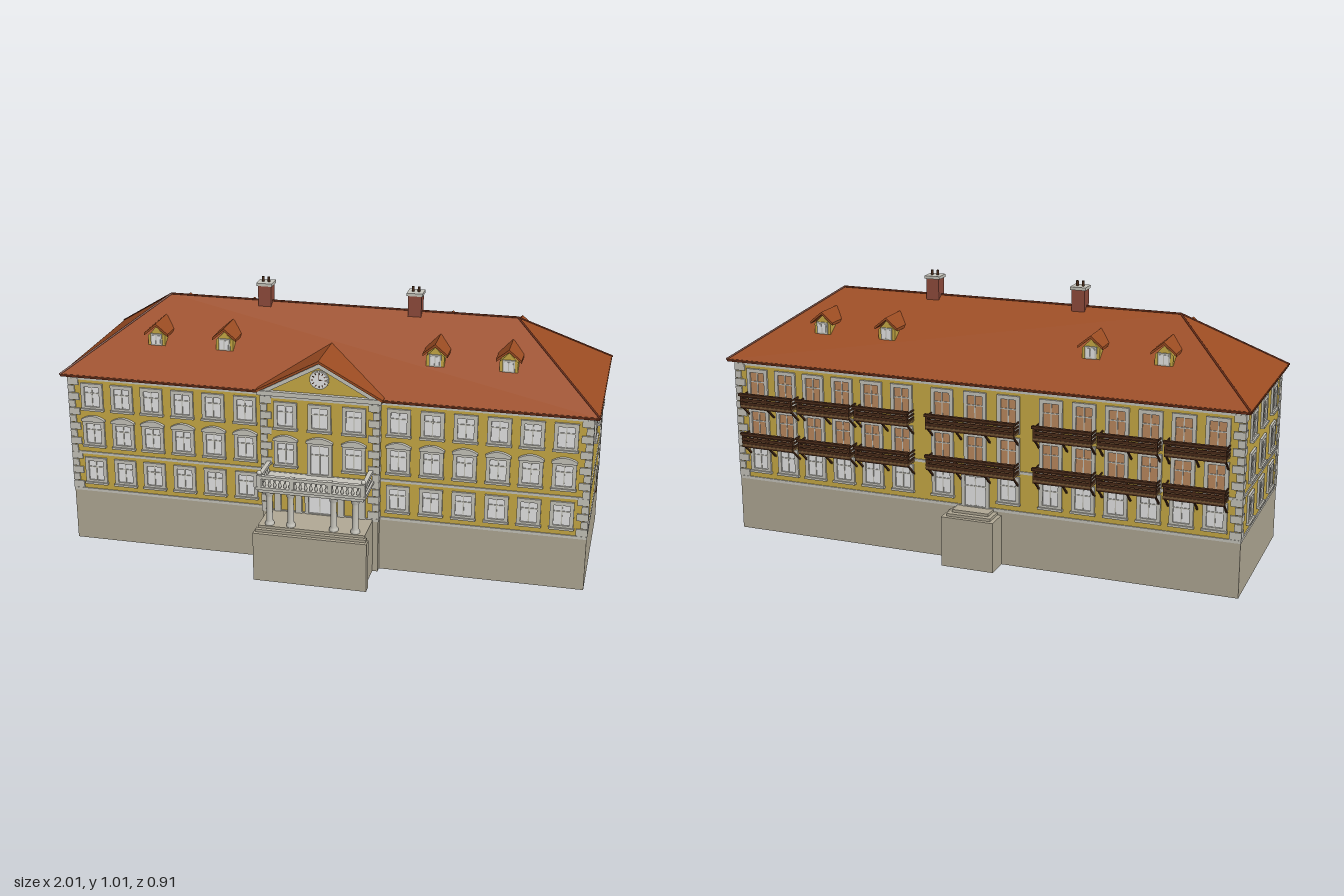
import * as THREE from 'three';
import { ConvexGeometry } from 'three/addons/geometries/ConvexGeometry.js';

const mat = (name, color) => new THREE.MeshStandardMaterial({ name, color });
const M = {
  wall: mat('yellow plaster', 0xc9ab45), roof: mat('roof tile', 0x9c4c22), edge: mat('dark roof edge', 0x6a2d17),
  base: mat('base stone', 0xb1a995), trim: mat('light stone trim', 0xc8c6bd), pane: mat('white panes', 0xfbfbfb),
  brick: mat('chimney brick', 0x904c3c), wood: mat('dark wood', 0x4a2b19), floor: mat('floor boards', 0x7a5a38),
  door: mat('tan doors', 0xbd8a60),
};

function add(parent, name, geo, m, x = 0, y = 0, z = 0) {
  const mesh = new THREE.Mesh(geo, m);
  mesh.name = name;
  mesh.position.set(x, y, z);
  parent.add(mesh);
  return mesh;
}
// box given by its limits
const block = (p, name, m, x0, x1, y0, y1, z0, z1) =>
  add(p, name, new THREE.BoxGeometry(x1 - x0, y1 - y0, z1 - z0), m, (x0 + x1) / 2, (y0 + y1) / 2, (z0 + z1) / 2);
const group = (parent, name, x = 0, y = 0, z = 0, ry = 0) => {
  const g = new THREE.Group();
  g.name = name;
  g.position.set(x, y, z);
  g.rotation.y = ry;
  parent.add(g);
  return g;
};
const poly = (pts) => new THREE.Shape(pts.map(([x, y]) => new THREE.Vector2(x, y)));
const extrude = (shape, depth) => new THREE.ExtrudeGeometry(shape, { depth, bevelEnabled: false, curveSegments: 8 });
// inverted V of roof or moulding
const chevron = (w, y0, y1, t) => poly([[-w, y0 - t], [0, y1 - t], [w, y0 - t], [w, y0], [0, y1], [-w, y0]]);

// window or glazed door on a wall facing local +z, y is the bottom of the panes
function opening(parent, x, y, { w = 0.058, h = 0.078, hood = false, pane = M.pane, sill = true } = {}) {
  const g = group(parent, 'window', x, y, 0);
  const f = 0.014, a = w / 2, o = a + f;
  const frame = poly([[-o, -f], [o, -f], [o, h + f], [-o, h + f]]);
  frame.holes.push(poly([[-a, 0], [-a, h], [a, h], [a, 0]]));
  add(g, 'surround', extrude(frame, 0.008), M.trim);
  block(g, 'panes', pane, -a, a, 0, h, 0, 0.002);
  block(g, 'mullion', M.trim, -0.002, 0.002, 0, h, 0.002, 0.005);
  block(g, 'transom', M.trim, -a, a, h * 0.66, h * 0.66 + 0.004, 0.002, 0.005);
  if (sill) block(g, 'sill', M.trim, -o - 0.003, o + 0.003, -f - 0.002, -f + 0.006, 0, 0.014);
  if (hood) {
    const s = new THREE.Shape();
    s.moveTo(-o - 0.003, h + f - 0.004);
    s.lineTo(o + 0.003, h + f - 0.004);
    s.lineTo(o + 0.003, h + f + 0.004);
    s.quadraticCurveTo(0, h + f + 0.034, -o - 0.003, h + f + 0.004);
    add(g, 'arched hood', extrude(s, 0.013), M.trim);
  }
}

// alternating corner stones; sx, sz point outwards
function quoins(parent, x, z, sx, sz, deep = 1) {
  const g = group(parent, 'cornerStones');
  for (let i = 0; i < 15; i++) {
    const a = i % 2 ? 0.026 : 0.042, b = deep * a, y = 0.215 + i * 0.03;
    add(g, 'cornerStone', new THREE.BoxGeometry(a, 0.027, b), M.trim,
      x + sx * (0.005 - a / 2), y + 0.0135, z + sz * (0.005 - b / 2));
  }
}

// dormer facing local +z, run is its depth into the roof
function dormer(parent, x, z, ry, run) {
  const g = group(parent, 'dormer', x, 0, z, ry);
  add(g, 'dormer walls', extrude(poly([[-0.033, 0.76], [0.033, 0.76], [0.033, 0.814], [0, 0.848], [-0.033, 0.814]]), run), M.wall, 0, 0, -run - 0.008);
  add(g, 'dormer roof', extrude(chevron(0.046, 0.824, 0.862, 0.01), run), M.roof, 0, 0, -run);
  block(g, 'dormer frame', M.trim, -0.022, 0.022, 0.777, 0.822, -0.008, -0.003);
  for (const s of [-1, 1]) block(g, 'dormer pane', M.pane, s * 0.009 - 0.007, s * 0.009 + 0.007, 0.783, 0.816, -0.003, -0.001);
}

// timber balcony on a wall facing local +z
function woodBalcony(parent, x, y, w) {
  const g = group(parent, 'timberBalcony', x, y, 0), a = w / 2, d = 0.062;
  block(g, 'balcony floor', M.floor, -a, a, 0, 0.007, 0, d);
  block(g, 'floor beam', M.wood, -a, a, -0.006, 0, d - 0.012, d);
  for (const h of [0.008, 0.022, 0.036]) {
    block(g, 'front plank', M.wood, -a, a, h, h + 0.011, d - 0.004, d);
    for (const s of [-a, a - 0.004]) block(g, 'side plank', M.wood, s, s + 0.004, h + 0.002, h + 0.008, 0, d);
  }
  block(g, 'handrail', M.wood, -a - 0.003, a + 0.003, 0.042, 0.052, d - 0.008, d + 0.006);
  const n = Math.round(w / 0.1);
  for (let i = 0; i <= n; i++) {
    const px = -a + 0.004 + (w - 0.008) * i / n;
    block(g, 'rail post', M.wood, px - 0.004, px + 0.004, -0.006, 0.048, d - 0.009, d - 0.001);
    const brace = add(g, 'brace', new THREE.BoxGeometry(0.006, 0.076, 0.006), M.wood, px, -0.024, 0.029);
    brace.rotation.x = 0.86;
  }
}

export function createModel() {
  const model = new THREE.Group();
  model.name = 'manorHouse';
  const cols = [0.288, 0.41, 0.53, 0.65, 0.767, 0.885].flatMap((x) => [x, -x]);
  const rows = [0.252, 0.405, 0.553];

  // base and walls
  block(model, 'base', M.base, -0.978, 0.978, 0, 0.205, -0.366, 0.262);
  block(model, 'middleBase', M.base, -0.22, 0.22, 0, 0.205, 0.26, 0.288);
  block(model, 'walls', M.wall, -0.975, 0.975, 0.2, 0.675, -0.363, 0.26);
  block(model, 'middleWall', M.wall, -0.218, 0.218, 0.2, 0.675, 0.25, 0.284);
  for (const [y0, y1] of [[0.203, 0.214], [0.357, 0.367], [0.657, 0.675]]) {
    block(model, 'stringCourse', M.trim, -0.979, 0.979, y0, y1, -0.367, 0.264);
    block(model, 'middleStringCourse', M.trim, -0.222, 0.222, y0, y1, 0.25, 0.288);
  }
  for (const sx of [-1, 1]) {
    quoins(model, sx * 0.975, 0.26, sx, 1);
    quoins(model, sx * 0.975, -0.363, sx, -1);
    quoins(model, sx * 0.218, 0.284, sx, 1, 0.8);
  }

  // front windows
  const front = group(model, 'frontWindows', 0, 0, 0.26);
  for (const x of cols) rows.forEach((y, i) => opening(front, x, y, { hood: i === 1 }));
  const middle = group(model, 'middleWindows', 0, 0, 0.284);
  for (const x of [-0.128, 0, 0.128]) {
    opening(middle, x, rows[2]);
    if (x) opening(middle, x, rows[1], { hood: true });
  }
  opening(middle, 0, 0.372, { w: 0.066, h: 0.112, hood: true, sill: false });
  opening(middle, 0, 0.214, { w: 0.085, h: 0.122, sill: false });

  // side windows and side door; the left end carries only the top row
  const left = group(model, 'leftSide', 0.975, 0, 0, Math.PI / 2);
  const right = group(model, 'rightSide', -0.975, 0, 0, -Math.PI / 2);
  for (const z of [0.125, -0.05, -0.225]) {
    opening(left, -z, rows[2] + 0.002);
    for (const y of rows) opening(right, z, y);
  }
  block(left, 'side door', M.base, 0.144, 0.188, 0.213, 0.306, 0, 0.007);
  block(left, 'door sill', M.edge, 0.142, 0.19, 0.21, 0.215, 0, 0.009);

  // back openings and timber balconies
  const back = group(model, 'backSide', 0, 0, -0.363, Math.PI);
  for (const x of [...cols, -0.128, 0.128, 0]) {
    if (x) opening(back, x, rows[0]);
    for (const y of [0.366, 0.52]) opening(back, x, y, { h: 0.112, pane: M.door, sill: false });
  }
  opening(back, 0, 0.212, { w: 0.08, h: 0.115, sill: false });
  for (const y of [0.357, 0.511]) {
    woodBalcony(back, 0, y, 0.34);
    for (const x of [0.348, 0.583, 0.822]) for (const s of [-1, 1]) woodBalcony(back, s * x, y, 0.215);
  }
  [[0.1, 0.19, 0.092], [0.085, 0.2, 0.077], [0.07, 0.21, 0.057]].forEach(([w, h, d]) =>
    block(back, 'backStep', M.base, -w, w, 0, h, -0.01, d));

  // hipped roof
  block(model, 'eaves', M.edge, -0.998, 0.998, 0.672, 0.682, -0.389, 0.284);
  const hip = [];
  for (const s of [-1, 1]) hip.push(
    new THREE.Vector3(s, 0.68, 0.286), new THREE.Vector3(s, 0.68, -0.391), new THREE.Vector3(s * 0.665, 0.918, -0.053));
  add(model, 'roof', new ConvexGeometry(hip), M.roof);
  const ridgeLine = (a, b) => {
    const m = add(model, 'ridge tiles', new THREE.CylinderGeometry(0.004, 0.004, a.distanceTo(b), 6), M.edge);
    m.position.copy(a).add(b).multiplyScalar(0.5);
    m.quaternion.setFromUnitVectors(new THREE.Vector3(0, 1, 0), b.clone().sub(a).normalize());
  };
  ridgeLine(hip[2], hip[5]);
  for (const i of [0, 3]) for (const j of [0, 1]) ridgeLine(hip[i + j], hip[i + 2]);

  // pediment with clock
  const ped = group(model, 'pediment');
  add(ped, 'gable wall', extrude(poly([[-0.215, 0.675], [0.215, 0.675], [0, 0.805]]), 0.19), M.wall, 0, 0, 0.096);
  add(ped, 'gable roof', extrude(chevron(0.236, 0.688, 0.817, 0.01), 0.213), M.roof, 0, 0, 0.09);
  add(ped, 'raking moulding', extrude(chevron(0.225, 0.682, 0.805, 0.016), 0.014), M.trim, 0, 0, 0.284);
  block(ped, 'cornice', M.trim, -0.23, 0.23, 0.67, 0.687, 0.26, 0.302);
  const disc = (n, r, m, z) => { add(ped, n, new THREE.CylinderGeometry(r, r, 0.006, 24), m, 0, 0.742, z).rotation.x = Math.PI / 2; };
  disc('clock rim', 0.036, M.trim, 0.288);
  disc('clock face', 0.031, M.pane, 0.29);
  for (let i = 0; i < 12; i++) {
    const a = i * Math.PI / 6;
    add(ped, 'hour mark', new THREE.BoxGeometry(0.003, 0.007, 0.002), M.wood,
      Math.sin(a) * 0.025, 0.742 + Math.cos(a) * 0.025, 0.294).rotation.z = -a;
  }
  block(ped, 'minute hand', M.wood, -0.001, 0.001, 0.742, 0.764, 0.293, 0.295);
  block(ped, 'hour hand', M.wood, 0, 0.014, 0.741, 0.743, 0.293, 0.295);

  // dormers and chimneys
  for (const x of [-0.66, -0.395, 0.395, 0.66]) {
    dormer(model, x, 0.157, 0, 0.125);
    dormer(model, x, -0.262, Math.PI, 0.125);
  }
  for (const x of [-0.288, 0.285]) {
    const c = group(model, 'chimney', x, 0, -0.053);
    block(c, 'chimney stack', M.brick, -0.025, 0.025, 0.86, 0.982, -0.025, 0.025);
    block(c, 'chimney cap', M.trim, -0.03, 0.03, 0.98, 0.991, -0.03, 0.03);
    for (const s of [-0.011, 0.011]) add(c, 'chimney pot', new THREE.CylinderGeometry(0.005, 0.005, 0.022, 8), M.wood, s, 0.999, 0);
  }

  // front porch: steps, columns, terrace
  const porch = group(model, 'porch');
  block(porch, 'porch base', M.base, -0.2, 0.2, 0, 0.21, 0.28, 0.425);
  block(porch, 'lower step', M.base, -0.212, 0.212, 0, 0.19, 0.42, 0.455);
  block(porch, 'upper step', M.base, -0.206, 0.206, 0.18, 0.2, 0.42, 0.44);
  block(porch, 'terrace slab', M.trim, -0.195, 0.195, 0.343, 0.36, 0.28, 0.427);
  block(porch, 'terrace edge', M.trim, -0.203, 0.203, 0.355, 0.366, 0.28, 0.433);
  const colProfile = [[0.017, 0], [0.017, 0.01], [0.012, 0.016], [0.011, 0.11], [0.015, 0.118], [0.017, 0.135]].map((p) => new THREE.Vector2(...p));
  for (const x of [-0.16, -0.08, 0.08, 0.16]) {
    add(porch, 'column', new THREE.LatheGeometry(colProfile, 16), M.trim, x, 0.21, 0.405);
    block(porch, 'pilaster', M.trim, x - 0.012, x + 0.012, 0.21, 0.345, 0.28, 0.293);
  }
  for (const x of [-0.062, 0.062]) block(porch, 'wall lantern', M.wood, x - 0.005, x + 0.005, 0.31, 0.335, 0.293, 0.303);

  // balustrade
  const balProfile = [[0.004, 0], [0.007, 0.01], [0.003, 0.02], [0.005, 0.033]].map((p) => new THREE.Vector2(...p));
  const balGeo = new THREE.LatheGeometry(balProfile, 8);
  const zf = 0.422, xs = 0.192;
  for (let i = 1; i < 20; i++) add(porch, 'baluster', balGeo, M.trim, -xs + i * 2 * xs / 20, 0.366, zf);
  block(porch, 'front rail', M.trim, -xs, xs, 0.397, 0.408, zf - 0.008, zf + 0.008);
  for (const s of [-1, 1]) {
    for (let i = 1; i < 7; i++) add(porch, 'baluster', balGeo, M.trim, s * xs, 0.366, 0.284 + i * 0.02);
    block(porch, 'side rail', M.trim, s * xs - 0.008, s * xs + 0.008, 0.397, 0.408, 0.28, zf);
    for (const x of [xs, 0.07]) block(porch, 'rail post', M.trim, s * x - 0.009, s * x + 0.009, 0.36, 0.41, zf - 0.009, zf + 0.009);
    add(porch, 'finial', new THREE.SphereGeometry(0.009, 12, 8), M.trim, s * xs, 0.418, zf);
  }
  return model;
}
